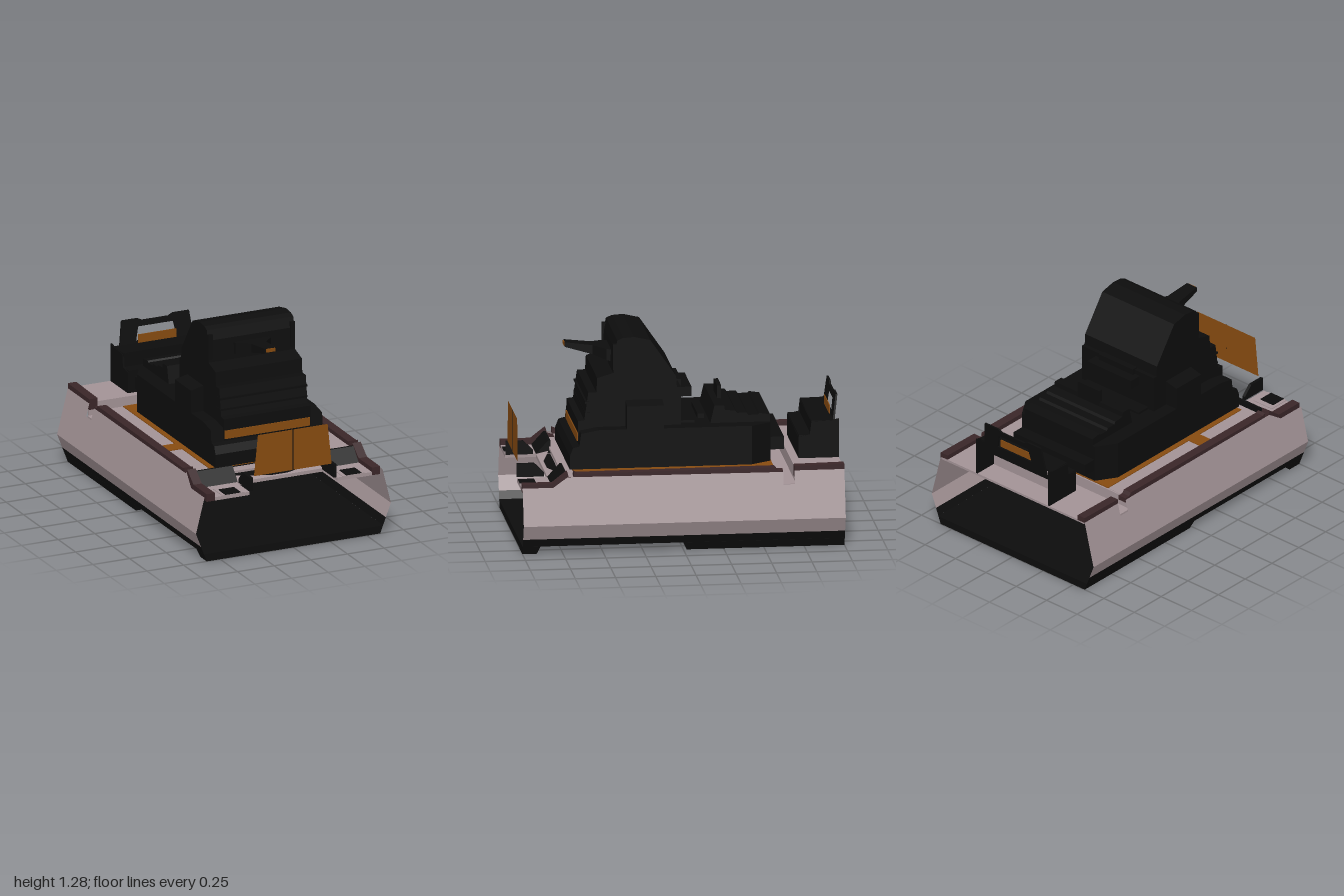
import * as THREE from 'three';

const mat = (name, color, side = THREE.FrontSide) => {
  const m = new THREE.MeshStandardMaterial({ color, side });
  m.name = name;
  return m;
};

export function createModel() {
  const model = new THREE.Group();
  const black = mat('black', 0x0d0d0d, THREE.DoubleSide);
  const plate = mat('hull grey pink', 0xa39396, THREE.DoubleSide);
  const trim = mat('dark maroon', 0x3a2628);
  const orange = mat('burnt orange', 0x874b10, THREE.DoubleSide);

  const add = (name, geometry, material) => {
    const mesh = new THREE.Mesh(geometry, material);
    mesh.name = name;
    model.add(mesh);
    return mesh;
  };
  // box given by its limits
  const box = (name, m, x0, x1, y0, y1, z0, z1) =>
    add(name, new THREE.BoxGeometry(x1 - x0, y1 - y0, z1 - z0)
      .translate((x0 + x1) / 2, (y0 + y1) / 2, (z0 + z1) / 2), m);
  const shape = pts => new THREE.Shape(pts.map(p => new THREE.Vector2(...p)));
  // side profile of [z, y] points, extruded from x0 to x1
  const profileGeo = (pts, x0, x1) =>
    new THREE.ExtrudeGeometry(shape(pts), { depth: x1 - x0, bevelEnabled: false })
      .rotateY(-Math.PI / 2).translate(x1, 0, 0);
  const profile = (name, m, pts, x0, x1) => add(name, profileGeo(pts, x0, x1), m);
  // moves every vertex of a geometry by a rule
  const bend = (g, rule) => {
    const p = g.attributes.position;
    for (let i = 0; i < p.count; i++) p.setXYZ(i, ...rule(p.getX(i), p.getY(i), p.getZ(i)));
    g.computeVertexNormals();
    return g;
  };

  // hull: half width follows height, widest at the knuckle
  const half = y => y < 0.19 ? 0.592 + 0.073 * y / 0.19 : 0.665 - 0.075 * (y - 0.19) / 0.3;
  const hullPanel = (name, m, pts, s) =>
    add(name, bend(new THREE.ShapeGeometry(shape(pts)), (z, y) => [s * half(y), y, z]), m);
  for (const s of [-1, 1]) {
    hullPanel('upperHullSide', plate, [[1, 0.19], [1, 0.42], [0.81, 0.42], [0.72, 0.48], [-0.62, 0.475],
      [-0.62, 0.4], [-0.69, 0.4], [-0.69, 0.485], [-1, 0.49], [-1, 0.19]], s);
    hullPanel('lowerHullSide', plate, [[1, 0.1], [1, 0.19], [-1, 0.19], [-1, 0.1]], s);
    hullPanel('bilgeStrip', black, [[1, 0.05], [1, 0.1], [-1, 0.1], [-1, 0.05]], s);
  }

  // keel floor with the two deeper sections
  add('floor', new THREE.PlaneGeometry(1.222, 2).rotateX(-Math.PI / 2).translate(0, 0.05, 0), black);
  const keel = (name, pts) => add(name, bend(profileGeo(pts, -1, 1),
    (x, y, z) => [Math.sign(x) * half(y), y, z]), black);
  keel('frontKeel', [[1, 0], [1, 0.049], [0.89, 0.049], [0.91, 0]]);
  keel('rearKeel', [[-0.02, 0], [0, 0.049], [-1, 0.049], [-1, 0]]);

  // gunwale trim and deck edges, both sides
  for (const s of [-1, 1]) {
    const span = (a, b) => s > 0 ? [a, b] : [-b, -a];
    const edge = span(0.535, 0.592);
    profile('frontGunwale', trim, [[1, 0.39], [1, 0.44], [0.81, 0.44], [0.72, 0.51], [0.71, 0.47],
      [0.67, 0.46], [0.67, 0.44], [0.72, 0.44], [0.81, 0.39]], ...edge);
    profile('mainGunwale', trim, [[0.68, 0.475], [0.68, 0.51], [0.66, 0.5], [-0.57, 0.505], [-0.585, 0.485],
      [-0.62, 0.485], [-0.62, 0.455], [-0.575, 0.455], [-0.57, 0.475]], ...edge);
    profile('rearGunwale', trim, [[-0.69, 0.44], [-0.69, 0.51], [-1, 0.515], [-1, 0.48], [-0.71, 0.48],
      [-0.71, 0.44]], ...edge);
    box('sideDeck', plate, ...span(0.41, 0.585), 0.455, 0.47, -0.58, 0.67);
    box('crossStripe', orange, ...span(0.41, 0.535), 0.47, 0.475, 0.17, 0.27);
    // front deck with dark well
    box('frontDeck', plate, ...span(0.3, 0.585), 0.39, 0.412, 0.73, 1);
    box('deckWellRim', plate, ...span(0.335, 0.485), 0.412, 0.416, 0.865, 1);
    box('deckWell', black, ...span(0.36, 0.465), 0.416, 0.42, 0.9, 1);
    profile('breakwater', black, [[0.81, 0.412], [0.735, 0.495], [0.72, 0.495], [0.72, 0.412]],
      ...span(0.29, 0.535));
    profile('panelBracket', black, [[1, 0.415], [1, 0.5], [0.89, 0.5], [0.83, 0.44], [0.83, 0.415]],
      ...span(0.275, 0.295));
    // angled plates that meet ahead of the superstructure
    const v = new THREE.BufferGeometry();
    v.setAttribute('position', new THREE.Float32BufferAttribute(
      [s * 0.3, 0.43, 0.73, s * 0.3, 0.412, 0.81, 0, 0.412, 0.81], 3));
    v.computeVertexNormals();
    add('angledPlate', v, plate);
  }
  box('frontCrossBeam', plate, -0.535, 0.535, 0.39, 0.412, 0.785, 0.81);
  box('foreBulkheadDeck', plate, -0.585, 0.585, 0.44, 0.455, 0.66, 0.73);
  box('frontPit', black, -0.3, 0.3, 0.395, 0.405, 0.72, 0.79);
  box('innerDeck', orange, -0.415, 0.415, 0.462, 0.475, -0.58, 0.66);

  // sunken cross passage and rear deck
  box('passageDeck', plate, -0.6, 0.6, 0.385, 0.4, -0.7, -0.58);
  box('passageFrontWall', plate, -0.59, 0.59, 0.39, 0.468, -0.59, -0.58);
  box('passageRearWall', plate, -0.59, 0.59, 0.39, 0.48, -0.71, -0.7);
  box('rearDeck', plate, -0.585, 0.585, 0.47, 0.485, -1, -0.7);

  // standing orange shield at the bow
  const shield = shape([[-0.265, 0.505], [0.265, 0.505], [0.238, 0.77], [-0.238, 0.77]]);
  add('bowShield', new THREE.ShapeGeometry(shield).translate(0, 0, 0.99), orange);
  box('shieldSeam', black, -0.002, 0.002, 0.505, 0.77, 0.99, 0.994);

  // superstructure base, narrowing astern
  profile('cabinBase', black, [[0.68, 0.475], [0.68, 0.56], [0.66, 0.61], [0.62, 0.62], [0.61, 0.7],
    [0.5, 0.72], [-0.45, 0.72], [-0.45, 0.475]], -0.38, 0.38);
  add('cabinBaseRear', bend(profileGeo([[-0.45, 0.475], [-0.45, 0.72], [-0.575, 0.72], [-0.575, 0.475]],
    -0.38, 0.38), (x, y, z) => [z < -0.5 ? x * 0.79 : x, y, z]), black);
  // stepped tower
  profile('tower', black, [[0.62, 0.6], [0.62, 0.76], [0.58, 0.765], [0.555, 0.94], [0.505, 0.94],
    [0.5, 1.03], [0.4, 1.06], [0.39, 1.2], [0.375, 1.265], [0.34, 1.28], [0.27, 1.285], [0.17, 1.262],
    [0.01, 1.03], [0.005, 0.96], [-0.02, 0.96], [-0.02, 0.6]], -0.295, 0.295);
  box('frontWindow', orange, -0.29, 0.29, 0.632, 0.686, 0.62, 0.626);
  // raised frame on the tower face
  for (const s of [-1, 1]) box('faceFrameSide', black, s * 0.28 - 0.015, s * 0.28 + 0.015, 1.08, 1.24, 0.38, 0.402);
  for (const y of [0.8, 0.87]) box('towerLedge', black, -0.297, 0.297, y, y + 0.012, 0.52, 0.575);

  // side sponsons with sloping tops
  for (const s of [-1, 1]) {
    const g = new THREE.BoxGeometry(0.1, 0.19, 0.23).translate(s * 0.33, 0.795, 0.21);
    add('sponson', bend(g, (x, y, z) => [x, y > 0.8 && Math.abs(x) > 0.33 ? 0.865 : y, z]).toNonIndexed(), black);
    g.computeVertexNormals();
  }

  // aft roof equipment
  profile('aftHouse', black, [[-0.2, 0.7], [-0.23, 0.83], [-0.29, 0.83], [-0.295, 0.8], [-0.36, 0.795],
    [-0.37, 0.78], [-0.43, 0.78], [-0.44, 0.765], [-0.5, 0.765], [-0.51, 0.775], [-0.575, 0.765],
    [-0.575, 0.7]], -0.28, 0.28);
  box('aftMast', black, -0.09, 0.09, 0.8, 0.91, -0.295, -0.27);
  box('towerVent', black, -0.18, 0.18, 0.87, 0.93, -0.1, -0.02);
  box('towerVentStep', black, -0.14, 0.14, 0.93, 0.97, -0.04, 0);
  box('roofPipe', black, -0.25, 0.25, 0.72, 0.735, -0.11, -0.02);
  box('roofHatch', black, -0.15, 0.15, 0.72, 0.75, -0.18, -0.14);
  box('sternLocker', black, -0.295, 0.295, 0.545, 0.625, -0.66, -0.57);

  // forward emitter on the tower
  const arm = shape([[-0.12, 0.39], [0.12, 0.39], [0.12, 0.42], [0.05, 0.5], [0.04, 0.67],
    [-0.04, 0.67], [-0.05, 0.5], [-0.12, 0.42]]);
  const armGeo = new THREE.ExtrudeGeometry(arm, { depth: 1, bevelEnabled: false });
  add('emitterArm', bend(armGeo, (x, z, t) => {
    const k = (z - 0.39) / 0.28;
    return [-x, 1.09 + 0.08 * k + t * (0.075 - 0.045 * k), z];
  }), black);
  box('emitterTip', orange, -0.03, 0.03, 1.175, 1.198, 0.67, 0.675);

  // stern housing: shell open to the rear
  const sternPts = [[-0.75, 0.485], [-0.75, 0.62], [-0.82, 0.635], [-0.83, 0.715], [-0.96, 0.72],
    [-1, 0.73], [-1, 0.485]];
  for (const s of [-1, 1]) profile('sternSide', black, sternPts, s * 0.295 - 0.006, s * 0.295 + 0.006);
  box('sternFront', black, -0.295, 0.295, 0.485, 0.62, -0.76, -0.75);
  box('sternStepTop', black, -0.295, 0.295, 0.615, 0.63, -0.83, -0.752);
  box('sternStepFront', black, -0.295, 0.295, 0.62, 0.715, -0.84, -0.828);
  box('sternRoof', black, -0.295, 0.295, 0.708, 0.72, -0.97, -0.83);
  box('sternLining', plate, -0.288, 0.288, 0.485, 0.7, -0.85, -0.842);
  // leaning arch with a slot
  const arch = shape([[-0.26, 0.65], [0.26, 0.65], [0.23, 0.87], [0.12, 0.87], [0.09, 0.855],
    [-0.09, 0.855], [-0.12, 0.87], [-0.23, 0.87]]);
  arch.holes.push(new THREE.Path([[-0.14, 0.73], [-0.12, 0.82], [0.12, 0.82], [0.14, 0.73]]
    .map(p => new THREE.Vector2(...p))));
  const archGeo = new THREE.ExtrudeGeometry(arch, { depth: 0.012, bevelEnabled: false });
  add('sternArch', bend(archGeo, (x, y, t) => [x, y, -0.96 - (y - 0.65) * 0.125 + t - 0.0125]), black);
  box('sternScreen', orange, -0.13, 0.13, 0.72, 0.775, -0.965, -0.96);

  return model;
}
